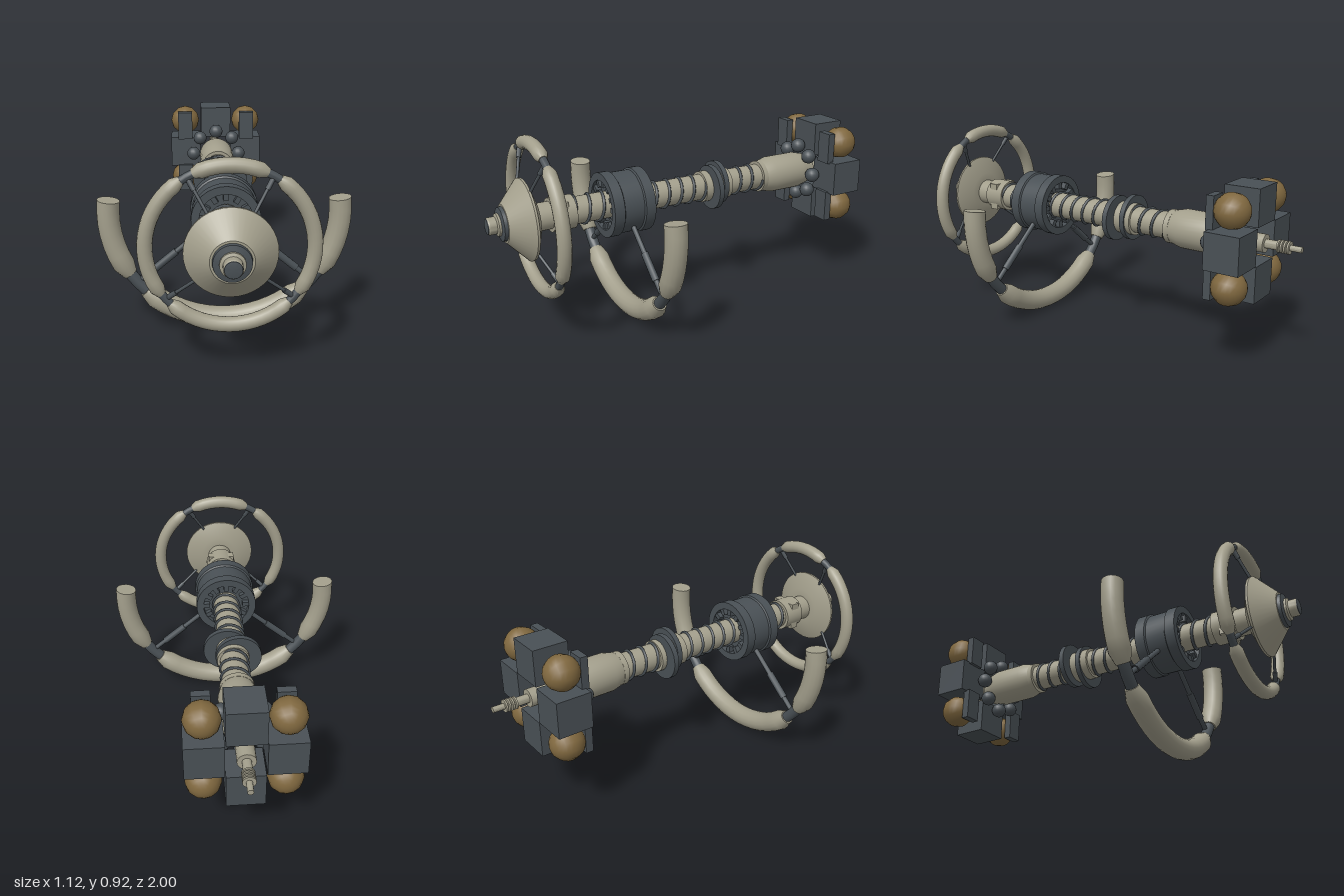
import * as THREE from 'three';
import { toCreasedNormals } from 'three/addons/utils/BufferGeometryUtils.js';

const RAD = Math.PI / 180;
const mat = (name, color) => Object.assign(new THREE.MeshStandardMaterial({ color }), { name });

export function createModel() {
  const hull = mat('hull', 0xa39f8c);
  const dark = mat('darkMetal', 0x495055);
  const bronze = mat('bronzeTank', 0x80683f);

  const model = new THREE.Group();
  model.name = 'spaceStation';
  const station = new THREE.Group();
  station.name = 'station';
  station.position.y = 0.56; // main axis height
  model.add(station);

  const add = (name, geometry, material, x = 0, y = 0, z = 0) => {
    const mesh = new THREE.Mesh(geometry, material);
    mesh.name = name;
    mesh.position.set(x, y, z);
    station.add(mesh);
    return mesh;
  };
  const lathe = (pts, sides) =>
    new THREE.LatheGeometry(pts.map(([z, r]) => new THREE.Vector2(r, z)), sides);

  // Turned part along z; profile is [z, radius] with rising z
  const turned = (name, pts, material, sides = 32, x = 0) =>
    add(name, toCreasedNormals(lathe(pts, sides).rotateX(Math.PI / 2), 0.5), material, x);
  const drum = (name, z0, z1, r, material, sides = 32, x = 0) =>
    turned(name, [[z0, 0], [z0, r], [z1, r], [z1, 0]], material, sides, x);

  // Turned part bent around the main axis; stations are [degrees, radius]
  const bent = (name, R, z, stations, material) => {
    const g = lathe(stations, 16);
    const p = g.attributes.position;
    for (let i = 0; i < p.count; i++) {
      const a = p.getY(i) * RAD, r = R + p.getX(i);
      p.setXYZ(i, r * Math.cos(a), r * Math.sin(a), p.getZ(i));
    }
    add(name, toCreasedNormals(g, 0.6), material, 0, 0, z);
  };
  const arc = (name, R, z, a0, a1, r, t0, t1, rEnd) => {
    const st = [[a0, 0], [a0, t0 ? rEnd : r]];
    const b0 = a0 + t0, b1 = a1 - t1, n = Math.ceil((b1 - b0) / 6);
    for (let i = t0 ? 0 : 1; i <= (t1 ? n : n - 1); i++) st.push([b0 + (b1 - b0) * i / n, r]);
    st.push([a1, t1 ? rEnd : r], [a1, 0]);
    bent(name, R, z, st, hull);
  };
  const joint = (name, R, z, a, half, r) =>
    bent(name, R, z, [-1, 0, 1].map(k => [a + k * half, r]), dark);

  // Rod between two points
  const rod = (name, from, to, r) => {
    const a = new THREE.Vector3(...from), b = new THREE.Vector3(...to);
    const mesh = add(name, new THREE.CylinderGeometry(r, r, a.distanceTo(b), 10), dark);
    mesh.position.copy(a).add(b).multiplyScalar(0.5);
    mesh.quaternion.setFromUnitVectors(new THREE.Vector3(0, 1, 0), b.sub(a).normalize());
  };
  const polar = (deg, r, z) => [r * Math.cos(deg * RAD), r * Math.sin(deg * RAD), z];

  // Nose and front cone
  turned('nose', [[0.93, 0.05], [0.955, 0.05], [0.96, 0.038], [0.99, 0.038], [0.995, 0.035]], hull);
  turned('noseCap', [[0.99, 0.035], [0.998, 0.034], [1.0, 0.024], [1.0, 0]], dark);
  turned('noseCollar', [[0.91, 0.078], [0.94, 0.074], [0.945, 0.05]], dark);
  turned('frontCone', [[0.79, 0.06], [0.79, 0.1], [0.825, 0.183], [0.835, 0.183], [0.925, 0.085], [0.925, 0.04]], hull, 40);

  // Front ring with four joints and spokes
  const frontAngles = [60, 120, 220, 320];
  frontAngles.forEach((a, i) => {
    const next = i < 3 ? frontAngles[i + 1] : 420;
    arc('frontRingArc', 0.33, 0.778, a + 4.5, next - 4.5, 0.031, 5, 5, 0.019);
    joint('frontRingJoint', 0.33, 0.778, a, 5, 0.017);
    rod('frontSpoke', polar(a, 0.33, 0.778), polar(a, 0.15, 0.832), 0.007);
    rod('frontSpokeRoot', polar(a, 0.33, 0.778), polar(a, 0.275, 0.795), 0.011);
  });

  // Large open ring with two joints and spokes
  const RZ = 0.366;
  arc('largeRingSideArc', 0.508, RZ, 173, 214, 0.05, 0, 6, 0.033);
  arc('largeRingBottomArc', 0.508, RZ, 226, 314, 0.05, 6, 6, 0.033);
  arc('largeRingSideArc', 0.508, RZ, 326, 367, 0.05, 6, 0, 0.033);
  for (const a of [220, 320]) {
    joint('largeRingJoint', 0.508, RZ, a, 7, 0.027);
    rod('largeSpoke', polar(a, 0.13, RZ), polar(a, 0.5, RZ), 0.012);
    rod('largeSpokeSleeve', polar(a, 0.28, RZ), polar(a, 0.42, RZ), 0.017);
  }

  // Central tube with a spiral wrap
  drum('mainTube', -0.4, 0.8, 0.062, hull);
  class Helix extends THREE.Curve {
    getPoint(t, v = new THREE.Vector3()) {
      const a = -t * 15 * Math.PI * 2;
      return v.set(0.065 * Math.cos(a), 0.065 * Math.sin(a), -0.375 + t * 0.995);
    }
  }
  add('spiralWrap', new THREE.TubeGeometry(new Helix(), 300, 0.007, 6), dark);

  // Front collar with four small blocks
  drum('frontCollar', 0.615, 0.72, 0.077, hull);
  for (let i = 0; i < 4; i++) {
    const [x, y] = polar(45 + i * 90, 0.07, 0);
    add('collarBlock', new THREE.BoxGeometry(0.035, 0.035, 0.045), hull, x, y, 0.675);
  }

  // Rotating hub with grooves and recessed ends
  turned('hub', [
    [0.3, 0.05], [0.3, 0.115], [0.27, 0.115], [0.27, 0.15], [0.318, 0.15], [0.323, 0.142],
    [0.418, 0.142], [0.423, 0.15], [0.472, 0.15], [0.472, 0.115], [0.44, 0.115], [0.44, 0.05],
  ], dark, 36);
  for (let i = 0; i < 12; i++) {
    for (const z of [0.29, 0.45]) {
      const [x, y] = polar(i * 30, 0.1, 0);
      add('hubBlock', new THREE.BoxGeometry(0.034, 0.022, 0.03), dark, x, y, z).rotation.z = i * 30 * RAD;
    }
  }

  // Middle collar with two offset discs
  drum('middleCollar', -0.19, -0.045, 0.075, hull);
  drum('offsetDisc', -0.165, -0.14, 0.107, dark, 32, -0.026);
  drum('offsetDisc', -0.105, -0.08, 0.107, dark, 32, 0.026);

  // Rear body
  drum('rearCollar', -0.4, -0.375, 0.078, hull);
  turned('rearBody', [[-0.69, 0], [-0.69, 0.07], [-0.63, 0.085], [-0.61, 0.09], [-0.45, 0.09], [-0.4, 0.077], [-0.4, 0]], hull);
  for (let i = 0; i < 8; i++) {
    const [x, y] = polar(i * 45, 0.125, 0);
    add('smallTank', new THREE.SphereGeometry(0.036, 16, 12), dark, x, y, -0.635);
  }

  // Engine cluster: four cubes, four tanks and their front plates
  for (let i = 0; i < 4; i++) {
    const [x, y] = polar(i * 90, 0.167, 0);
    add('engineCube', new THREE.BoxGeometry(0.164, 0.164, 0.161), dark, x, y, -0.757);
  }
  for (const sx of [-1, 1]) for (const sy of [-1, 1]) {
    const tank = new THREE.SphereGeometry(0.078, 12, 12).rotateX(Math.PI / 2);
    add('bronzeTank', tank, bronze, sx * 0.17, sy * 0.165, -0.762);
    add('tankPlate', new THREE.BoxGeometry(0.078, 0.15, 0.035), dark, sx * 0.17, sy * 0.15, -0.678);
  }

  // Rear antenna
  drum('antennaCore', -0.84, -0.68, 0.04, hull, 16);
  drum('antennaBase', -0.9, -0.83, 0.02, hull, 16);
  drum('antennaTip', -1.0, -0.9, 0.013, hull, 12);
  for (let i = 0; i < 4; i++) drum('antennaRing', -0.949 + i * 0.015, -0.941 + i * 0.015, 0.028, hull, 16);

  return model;
}
